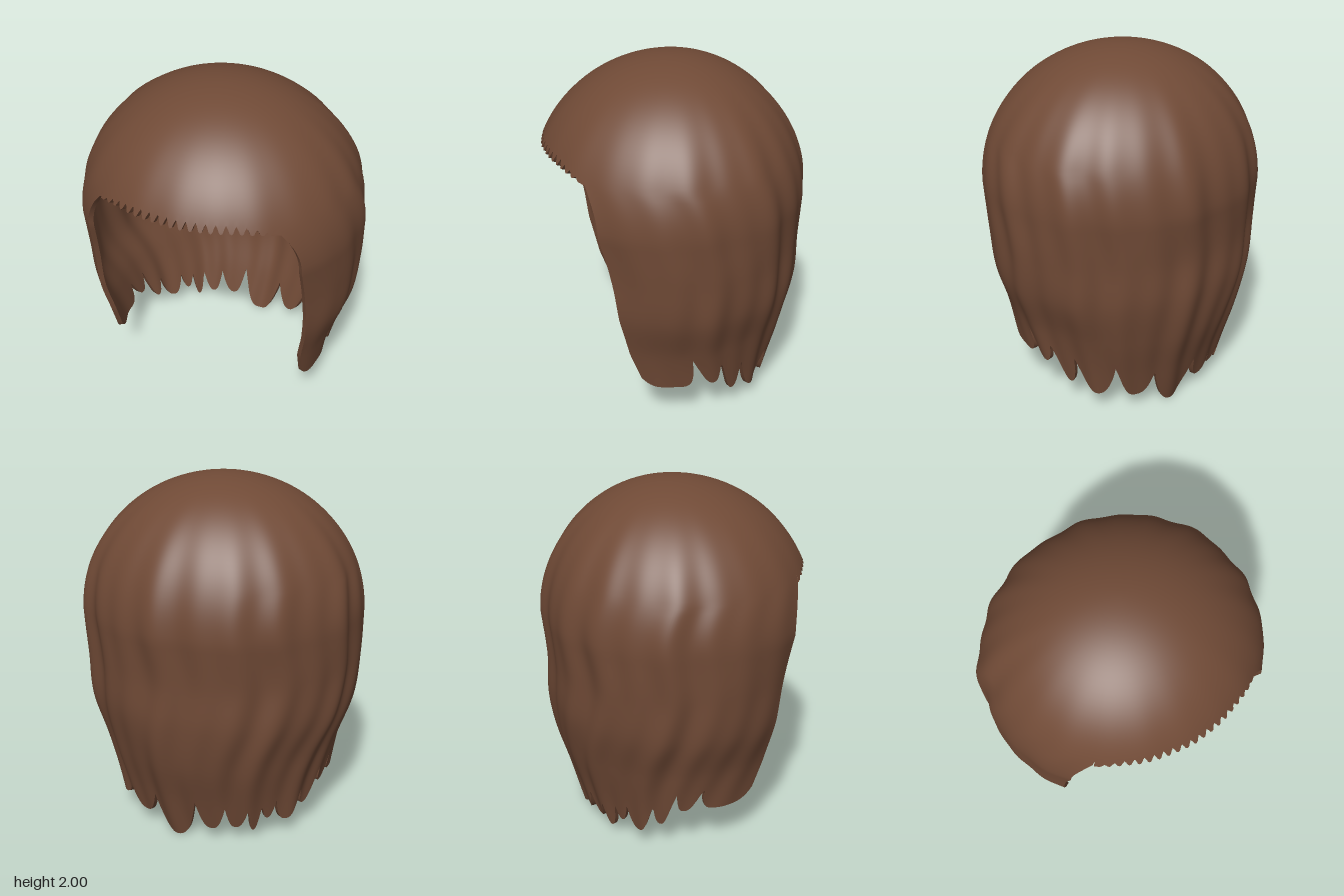
import * as THREE from 'three';
import { mergeVertices } from 'three/addons/utils/BufferGeometryUtils.js';

const PI = Math.PI, EDGE = 0.7, EQ = 1.25, H = 0.75, ROWS = 72, THICK = 0.028;
const V = (x, y, z) => new THREE.Vector3(x, y, z);

// Half width, back depth and front depth below the widest level, every 0.25 down
const sections = new THREE.CatmullRomCurve3([
  V(0.8, 0.735, 0.787), V(0.795, 0.715, 0.72), V(0.77, 0.715, 0.71),
  V(0.69, 0.675, 0.70), V(0.64, 0.6, 0.70), V(0.61, 0.53, 0.70),
], false, 'catmullrom');

// Angle of the front edge of the side curtains, every 0.25 down
const edgeAngles = [0.86, 0.89, 0.94, 1.03, 1.18, 1.3];
function edgeAngle(y) {
  if (y >= EQ) return EDGE + 0.16 * (1 - Math.min(1, (y - EQ) / 0.27) ** 2);
  const f = Math.min(4.999, (EQ - y) / 0.25), i = Math.floor(f);
  return THREE.MathUtils.lerp(edgeAngles[i], edgeAngles[i + 1], f - i);
}

// Lock ends round the hem: [angle from the back, notch height, tip height of the next lock]
const locks = [
  [-1.98, 0.34, 0.27], [-1.5, 0.42, 0.27], [-1.28, 0.4, 0.17], [-1.1, 0.3, 0.11],
  [-0.84, 0.25, 0.14], [-0.7, 0.24, 0.07], [-0.56, 0.23, 0.09], [-0.35, 0.23, 0.08],
  [-0.08, 0.26, 0.0], [0.35, 0.24, 0.09], [0.71, 0.32, 0.12], [1.08, 0.36, 0.17],
  [1.29, 0.42, 0.28], [1.52, 0.47, 0.27], [1.98, 0.33, 0.3],
];

function hemHeight(u, side) {
  if (!side) { // fine saw-tooth fringe
    const notch = Math.abs(Math.cos(u / EDGE * PI * 10)) ** 3;
    const fade = 1 - (u / EDGE) ** 4;
    return 1.5 + 0.033 * fade + 0.045 * notch * fade;
  }
  const d = THREE.MathUtils.clamp((PI - u) * 1.98 / (PI - EDGE), -1.98, 1.9799);
  const i = Math.max(0, locks.findIndex((l, k) => k + 1 < locks.length && d < locks[k + 1][0]));
  const [a, ya, tip] = locks[i], [b, yb] = locks[i + 1];
  const q = (d - a) / (b - a), notch = q < 0.5 ? ya : yb;
  const power = b - a > 0.44 ? 5 : 2.6;
  return tip + (notch - tip) * Math.abs(2 * q - 1) ** power;
}

// Distance down a strand at a given height
const strandLength = y => y > EQ ? Math.acos((y - EQ) / H) : PI / 2 + (EQ - y) / H;

// Folds fan out from the crown, sway lower down and are calm at the front
function folds(u, s, y) {
  const back = 0.25 + 0.75 * THREE.MathUtils.smoothstep(1 - Math.cos(u), 0.3, 1.2);
  const grow = THREE.MathUtils.smoothstep(s, 0.3, 1.7);
  const sway = 0.5 * Math.sin(4.5 * y) * THREE.MathUtils.smoothstep(s, 1.3, 2);
  return back * grow * (0.011 * Math.sin(13 * u + sway * 2 + 0.7)
    + 0.009 * Math.sin(21 * u + sway * 3 + 2) + 0.007 * Math.sin(8 * u - sway * 2 + 4));
}

function hairPoint(u, s, inset) {
  const y = s < PI / 2 ? EQ + (H - inset) * Math.cos(s) : EQ - (s - PI / 2) * H;
  const size = sections.getPoint(THREE.MathUtils.clamp((EQ - y) / 1.25, 0, 1));
  let phi = u;
  if (u > EDGE) phi = PI - (PI - u) * (PI - edgeAngle(y)) / (PI - EDGE);
  else if (u === EDGE) phi = edgeAngle(y);
  const round = s < PI / 2 ? Math.sin(s) : 1;
  const k = round * (1 + folds(u, s, y));
  const depth = Math.cos(phi) > 0 ? size.z : size.y;
  return V((size.x - inset) * k * Math.sin(phi), y, (depth - inset) * k * Math.cos(phi));
}

// Fringe columns first, then the curtain columns round the back
const columns = [];
for (let i = 0; i <= 120; i++) columns.push({ u: -EDGE + 2 * EDGE * i / 120, side: false });
for (let i = 0; i <= 250; i++) columns.push({ u: EDGE + (2 * PI - 2 * EDGE) * i / 250, side: true });
columns[120].u = EDGE;
for (const c of columns) c.end = strandLength(hemHeight(c.u, c.side));
const MAX = strandLength(0);
const rowAt = j => MAX * j / ROWS;

function finish(points) {
  const g = new THREE.BufferGeometry().setFromPoints(points);
  const merged = mergeVertices(g, 1e-5);
  merged.computeVertexNormals();
  return merged;
}

// One layer of the hair, each column cut off at its own hem
function layer(inset, inward) {
  const grid = columns.map(c => Array.from({ length: ROWS + 1 },
    (_, j) => hairPoint(c.u, Math.min(rowAt(j), c.end), inset)));
  const pts = [];
  const tri = (a, b, c) => {
    if (a.distanceToSquared(b) < 1e-12 || b.distanceToSquared(c) < 1e-12 || a.distanceToSquared(c) < 1e-12) return;
    if (inward) pts.push(a, c, b); else pts.push(a, b, c);
  };
  for (let i = 0; i + 1 < columns.length; i++) {
    if (columns[i].side !== columns[i + 1].side) continue;
    const end = Math.max(columns[i].end, columns[i + 1].end);
    for (let j = 0; j < ROWS && rowAt(j) < end; j++) {
      const a = grid[i][j], b = grid[i + 1][j], c = grid[i][j + 1], d = grid[i + 1][j + 1];
      tri(a, c, b);
      tri(b, c, d);
    }
  }
  return finish(pts);
}

// Strip closing the gap between the layers along fringe, curtain edges and hem
function rim() {
  const path = [];
  const curtainEdge = (u, from, to) => {
    for (let j = 0; j <= 40; j++) path.push([u, from + (to - from) * j / 40]);
  };
  columns.forEach((c, i) => {
    path.push([c.u, c.end]);
    const next = columns[i + 1];
    if (next && next.side !== c.side) curtainEdge(c.u, c.end, next.end);
  });
  const last = columns[columns.length - 1];
  curtainEdge(last.u, last.end, columns[0].end);
  const pts = [];
  for (let i = 0; i + 1 < path.length; i++) {
    const [a, b] = [path[i], path[i + 1]];
    const a0 = hairPoint(...a, 0), a1 = hairPoint(...a, THICK);
    const b0 = hairPoint(...b, 0), b1 = hairPoint(...b, THICK);
    if (a0.distanceTo(b0) > 1e-6) pts.push(a0, a1, b0, b0, a1, b1);
  }
  return finish(pts);
}

export function createModel() {
  const group = new THREE.Group();
  group.name = 'bobbedHair';
  const brown = new THREE.MeshStandardMaterial({ color: 0x704a36, side: THREE.DoubleSide });
  brown.name = 'brown hair';
  const add = (name, geometry) => {
    const mesh = new THREE.Mesh(geometry, brown);
    mesh.name = name;
    group.add(mesh);
  };
  add('outerHair', layer(0, false));
  add('innerHair', layer(THICK, true));
  add('hairRim', rim());
  return group;
}
